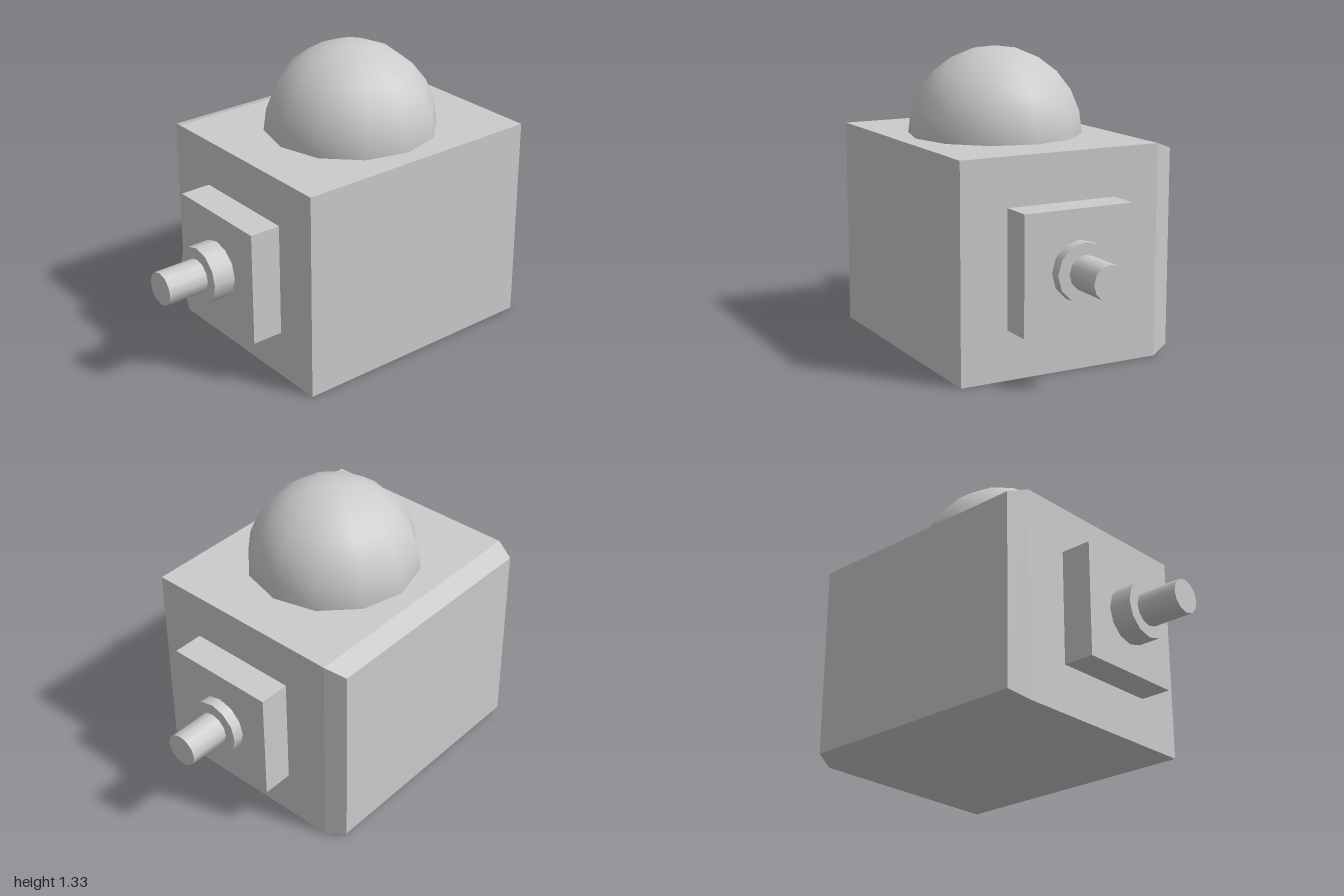
import * as THREE from 'three';

const material = new THREE.MeshStandardMaterial({ color: 0xcccccc });
const CX = 0.044; // shared axis of dome, plates and rods
const CY = 0.474;

function addMesh(parent, name, geometry, x, y, z) {
  const mesh = new THREE.Mesh(geometry, material);
  mesh.name = name;
  mesh.position.set(x, y, z);
  parent.add(mesh);
  return mesh;
}

// Box whose right (-x) face is bevelled on all four edges
function bevelledBody(w, h, d, bevel, insetY, insetZ) {
  const geometry = new THREE.BoxGeometry(w, h, d, 2, 1, 1);
  const p = geometry.attributes.position;
  for (let i = 0; i < p.count; i++) {
    if (Math.abs(p.getX(i)) < 1e-6) {
      p.setX(i, -w / 2 + bevel);
    } else if (p.getX(i) < 0) {
      p.setY(i, p.getY(i) - Math.sign(p.getY(i)) * insetY);
      p.setZ(i, p.getZ(i) - Math.sign(p.getZ(i)) * insetZ);
    }
  }
  const flat = geometry.toNonIndexed();
  flat.computeVertexNormals();
  return flat;
}

export function createModel() {
  const model = new THREE.Group();
  model.name = 'domedBox';

  // Main block
  addMesh(model, 'body', bevelledBody(1.034, 0.945, 1.19, 0.09, 0.032, 0.038), 0, 0.4725, -0.027);

  // Half-sphere on top
  const dome = new THREE.SphereGeometry(0.389, 12, 6, 0, Math.PI * 2, 0, Math.PI / 2);
  addMesh(model, 'dome', dome, CX, 0.945, -0.027);

  // Plate, collar and rod at each end, as distances from the centre
  const ends = [
    { name: 'front', dir: 1, wall: 0.568, plate: 0.71 },
    { name: 'back', dir: -1, wall: 0.622, plate: 0.762 },
  ];
  for (const { name, dir, wall, plate } of ends) {
    const group = new THREE.Group();
    group.name = name + 'Fitting';
    model.add(group);

    const depth = plate - wall;
    addMesh(group, name + 'Plate', new THREE.BoxGeometry(0.513, 0.516, depth), CX, CY, dir * (wall + depth / 2));

    const stages = [['Collar', 0.128, plate, 0.812], ['Rod', 0.075, 0.812, 1]];
    for (const [part, radius, from, to] of stages) {
      const geometry = new THREE.CylinderGeometry(radius, radius, to - from, 12).rotateX(Math.PI / 2);
      addMesh(group, name + part, geometry, CX, CY, dir * (from + to) / 2);
    }
  }
  return model;
}
